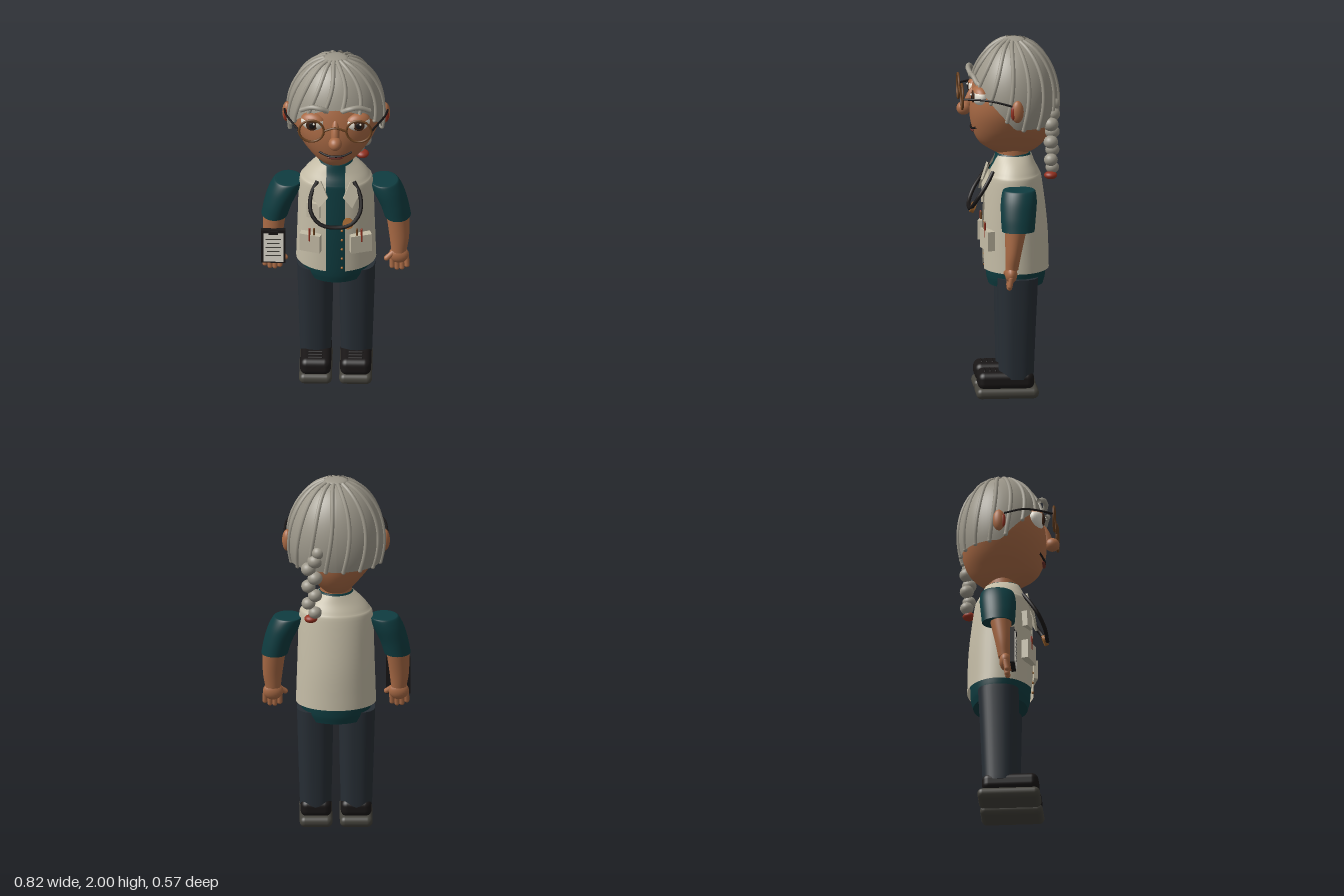
import * as THREE from 'three';
import { RoundedBoxGeometry } from 'three/addons/geometries/RoundedBoxGeometry.js';

const V = (x, y, z) => new THREE.Vector3(x, y, z);
const mat = (color) => new THREE.MeshStandardMaterial({ color, side: THREE.DoubleSide });

// Smooth tube of elliptical rings [y, cx, cz, rx, rz], bottom to top.
// gap: half width of a front opening; power < 1 squares the section.
function loft(rings, { gap = 0, power = 1, n = 40, steps = 24, caps = true } = {}) {
  const centre = new THREE.CatmullRomCurve3(rings.map(r => V(r[1], r[0], r[2])), false, 'catmullrom');
  const radius = new THREE.CatmullRomCurve3(rings.map(r => V(r[3], 0, r[4])), false, 'catmullrom');
  const pos = [], idx = [], bend = v => Math.sign(v) * Math.abs(v) ** power;
  const cols = gap ? n + 1 : n;
  for (let i = 0; i <= steps; i++) {
    const c = centre.getPoint(i / steps), r = radius.getPoint(i / steps);
    const g = gap ? Math.asin(Math.min(1, gap / r.x)) : 0;
    for (let j = 0; j < cols; j++) {
      const a = g + (2 * Math.PI - 2 * g) * j / n;
      pos.push(c.x + r.x * bend(Math.sin(a)), c.y, c.z + r.z * bend(Math.cos(a)));
    }
  }
  for (let i = 0; i < steps; i++) for (let j = 0; j < n; j++) {
    const a = i * cols + j, b = i * cols + (j + 1) % cols;
    idx.push(a, b, b + cols, a, b + cols, a + cols);
  }
  if (caps && !gap) for (const [row, top] of [[0, false], [steps, true]]) {
    const c = centre.getPoint(row / steps), start = pos.length / 3;
    pos.push(c.x, c.y, c.z);
    for (let j = 0; j < n; j++) pos.push(...pos.slice((row * n + j) * 3, (row * n + j) * 3 + 3));
    for (let j = 0; j < n; j++) {
      const a = start + 1 + j, b = start + 1 + (j + 1) % n;
      idx.push(start, ...(top ? [a, b] : [b, a]));
    }
  }
  const geo = new THREE.BufferGeometry();
  geo.setAttribute('position', new THREE.Float32BufferAttribute(pos, 3));
  geo.setIndex(idx);
  geo.computeVertexNormals();
  return geo;
}

// Hair dome: point at azimuth a (from the front), t = 0 at the crown, 1 at the hairline
function hairPoint(a, t) {
  const edge = 1.53 + Math.max(0, -0.01 + 0.24 * Math.cos(a)) * 1.12;
  const th = t * Math.acos((edge - 1.65) / 0.345);
  return V(0.265 * Math.sin(th) * Math.sin(a), 1.65 + 0.345 * Math.cos(th), -0.03 + 0.243 * Math.sin(th) * Math.cos(a));
}
function hairDome() {
  const geo = new THREE.PlaneGeometry(1, 1, 64, 24), p = geo.attributes.position, uv = geo.attributes.uv;
  for (let i = 0; i < p.count; i++) {
    const q = hairPoint(uv.getX(i) * 2 * Math.PI + Math.PI, 1 - uv.getY(i));
    p.setXYZ(i, q.x, q.y, q.z);
  }
  geo.computeVertexNormals();
  return geo;
}

export function createModel() {
  const root = new THREE.Group();
  const skin = mat(0xa96a45), hair = mat(0x9c978a), teal = mat(0x0f3c40), cream = mat(0xc4bca6);
  const navy = mat(0x272e35), black = mat(0x191616), sole = mat(0x45433c), white = mat(0xe6e1d4);
  const brown = mat(0x6b4220), gold = mat(0xa0642c), red = mat(0x93301f), lip = mat(0x6e3028), eyeBrown = mat(0x402617);

  const add = (name, geo, m, x = 0, y = 0, z = 0, parent = root) => {
    const mesh = new THREE.Mesh(geo, m);
    mesh.name = name;
    mesh.position.set(x, y, z);
    parent.add(mesh);
    return mesh;
  };
  const ball = (name, m, x, y, z, rx, ry = rx, rz = rx) => {
    const b = add(name, new THREE.SphereGeometry(1, 24, 16), m, x, y, z);
    b.scale.set(rx, ry, rz);
    return b;
  };
  const box = (name, m, x, y, z, w, h, d) => add(name, new THREE.BoxGeometry(w, h, d), m, x, y, z);
  const tube = (name, m, pts, r) =>
    add(name, new THREE.TubeGeometry(new THREE.CatmullRomCurve3(pts), 24, r, 8), m);
  const rod = (name, m, a, b, r) => {
    const c = add(name, new THREE.CapsuleGeometry(r, a.distanceTo(b), 6, 12), m);
    c.position.copy(a).lerp(b, 0.5);
    c.quaternion.setFromUnitVectors(V(0, 1, 0), b.clone().sub(a).normalize());
    return c;
  };

  // Head and neck
  add('head', loft([[1.345, 0, -0.02, 0.05, 0.06], [1.37, 0, -0.025, 0.08, 0.12], [1.42, 0, -0.018, 0.128, 0.182],
    [1.5, 0, -0.02, 0.19, 0.22], [1.6, 0, -0.02, 0.237, 0.235], [1.7, 0, -0.027, 0.25, 0.232],
    [1.8, 0, -0.03, 0.222, 0.203], [1.9, 0, -0.03, 0.165, 0.15], [1.96, 0, -0.03, 0.07, 0.07]], { steps: 40 }), skin);
  add('neck', new THREE.CylinderGeometry(0.085, 0.09, 0.12, 32), skin, 0, 1.34, -0.025);

  // Hair with raised strands running from the crown
  add('hair', hairDome(), hair);
  ball('crown', hair, 0, 1.985, -0.03, 0.065, 0.015, 0.062);
  for (let i = 0; i < 16; i++) {
    const a = (i + 0.4) / 16 * 2 * Math.PI, pts = [];
    for (let k = 0; k <= 8; k++) pts.push(hairPoint(a + 0.14 * Math.sin(k / 8 * Math.PI), 0.13 + 0.87 * k / 8));
    tube('hairStrand', hair, pts, 0.012);
    ball('strandTip', hair, ...pts[8].toArray(), 0.012);
  }

  // Braid hanging behind the left shoulder
  ball('braidRoot', hair, 0.1, 1.64, -0.24, 0.036);
  for (let i = 0; i < 7; i++) {
    const side = i % 2 ? 0.018 : -0.018, r = 0.043 - 0.001 * i;
    ball('braidBead', hair, 0.135 + side, 1.59 - i * 0.05, -0.228 + side * 0.3, r, r * 0.92);
  }
  ball('braidTie', red, 0.14, 1.25, -0.222, 0.036, 0.022, 0.036);

  // Nose and mouth
  ball('noseBridge', skin, 0, 1.65, 0.212, 0.024, 0.085, 0.028).rotation.x = -0.35;
  ball('noseTip', skin, 0, 1.605, 0.245, 0.037, 0.038, 0.04);
  tube('mouth', black, [V(-0.09, 1.515, 0.183), V(-0.045, 1.5, 0.2), V(0, 1.497, 0.205), V(0.045, 1.5, 0.2), V(0.09, 1.515, 0.183)], 0.006);
  ball('lowerLip', lip, 0, 1.486, 0.197, 0.045, 0.011, 0.012);

  // Paired face parts
  for (const s of [-1, 1]) {
    ball('ear', skin, s * 0.268, 1.64, -0.03, 0.028, 0.062, 0.034);
    ball('innerEar', red, s * 0.276, 1.635, -0.006, 0.014, 0.04, 0.014);
    ball('eye', white, s * 0.125, 1.7, 0.168, 0.066, 0.05, 0.04).rotation.y = s * 0.3;
    ball('iris', eyeBrown, s * 0.128, 1.7, 0.204, 0.033, 0.035, 0.009);
    ball('pupil', black, s * 0.128, 1.7, 0.21, 0.018, 0.02, 0.006);
    ball('eyeGlint', white, s * 0.128 + 0.01, 1.712, 0.215, 0.006);
    const lid = add('eyelid', new THREE.SphereGeometry(1, 24, 10, 0, Math.PI * 2, 0, Math.PI * 0.36), skin, s * 0.125, 1.7, 0.168);
    lid.scale.set(0.072, 0.056, 0.045);
    lid.rotation.y = s * 0.3;
    tube('eyebrow', hair, [V(s * 0.04, 1.79, 0.205), V(s * 0.08, 1.812, 0.215), V(s * 0.13, 1.815, 0.205), V(s * 0.19, 1.785, 0.185)], 0.014);
    add('glassesRim', new THREE.TorusGeometry(0.068, 0.0065, 10, 40), brown, s * 0.13, 1.7, 0.265);
    tube('glassesArm', black, [V(s * 0.2, 1.7, 0.26), V(s * 0.24, 1.705, 0.18), V(s * 0.272, 1.7, 0.1), V(s * 0.283, 1.675, 0)], 0.006);
  }
  tube('glassesBridge', brown, [V(-0.062, 1.7, 0.265), V(0, 1.722, 0.27), V(0.062, 1.7, 0.265)], 0.0065);

  // Shirt and open vest
  add('shirt', loft([[0.62, 0, -0.04, 0.17, 0.15], [0.7, 0, -0.04, 0.195, 0.165], [0.95, 0, -0.035, 0.2, 0.168], [1.2, 0, -0.027, 0.19, 0.145],
    [1.25, 0, -0.025, 0.172, 0.133], [1.3, 0, -0.025, 0.132, 0.108], [1.352, 0, -0.025, 0.085, 0.095]]), teal);
  add('vest', loft([[0.71, 0, -0.04, 0.22, 0.183], [0.95, 0, -0.035, 0.212, 0.18], [1.2, 0, -0.027, 0.203, 0.158],
    [1.25, 0, -0.025, 0.185, 0.145], [1.3, 0, -0.025, 0.145, 0.12], [1.345, 0, -0.025, 0.095, 0.103]], { gap: 0.052 }), cream);
  for (let i = 0; i < 5; i++) ball('button', gold, 0.035, 0.97 - i * 0.06, 0.134, 0.007);

  for (const s of [-1, 1]) {
    // Lapel, hip pocket and pens
    const lapelShape = new THREE.Shape([[0.01, 0.08], [0.065, 0.015], [0.02, -0.075], [-0.03, -0.015]].map(([x, y]) => new THREE.Vector2(s * x, y)));
    const lapel = add('lapel', new THREE.ExtrudeGeometry(lapelShape, { depth: 0.012, bevelEnabled: false }), cream, s * 0.07, 1.2, 0.128);
    lapel.rotation.set(-0.3, s * 0.2, 0);
    box('hipPocket', cream, s * 0.137, 0.893, 0.125, 0.118, 0.108, 0.04).rotation.y = s * 0.3;
    for (const dx of [0, 0.025]) rod('pen', dx ? red : brown, V(s * (0.118 + dx), 0.91, 0.14), V(s * (0.118 + dx), 0.985, 0.14), 0.006);

    // Sleeve, forearm and hand
    add('sleeve', loft([[0.985, s * 0.337, -0.028, 0.073, 0.09], [1.06, s * 0.318, -0.03, 0.078, 0.096],
      [1.14, s * 0.288, -0.035, 0.085, 0.099], [1.195, s * 0.265, -0.038, 0.08, 0.09], [1.202, s * 0.262, -0.038, 0.065, 0.075]]), teal);
    add('forearm', loft([[0.77, s * 0.345, 0.008, 0.042, 0.035], [0.86, s * 0.347, 0, 0.054, 0.044], [1.0, s * 0.338, -0.015, 0.064, 0.06]]), skin);
    ball('palm', skin, s * 0.345, 0.745, 0.012, 0.056, 0.05, 0.034);
    for (let i = 0; i < 4; i++) {
      const x = 0.306 + i * 0.027, low = [0.678, 0.668, 0.67, 0.685][i];
      rod('finger', skin, V(s * x, 0.73, 0.014), V(s * (x + 0.002), low, 0.022), 0.0145);
    }
    rod('thumb', skin, V(s * 0.315, 0.765, 0.02), V(s * 0.278, 0.735, 0.035), 0.015);

    // Trouser leg and shoe
    add('trouserLeg', loft([[0.11, s * 0.112, -0.035, 0.086, 0.095], [0.4, s * 0.113, -0.038, 0.094, 0.104],
      [0.675, s * 0.115, -0.042, 0.1, 0.113]], { power: 0.8 }), navy);
    add('shoeSole', new RoundedBoxGeometry(0.18, 0.062, 0.345, 5, 0.03), sole, s * 0.11, 0.031, 0.017);
    add('shoeUpper', new RoundedBoxGeometry(0.17, 0.1, 0.31, 5, 0.038), black, s * 0.11, 0.1, 0.025);
    for (let i = 0; i < 3; i++) rod('shoelace', black, V(s * 0.11 - 0.035, 0.15, 0.08 + i * 0.03), V(s * 0.11 + 0.035, 0.15, 0.08 + i * 0.03), 0.006);
  }
  box('breastPocket', cream, -0.12, 1.095, 0.115, 0.075, 0.09, 0.03).rotation.set(-0.06, -0.3, 0);

  // Stethoscope
  const half = [[0.1, 1.265, 0.09], [0.135, 1.2, 0.13], [0.135, 1.12, 0.18], [0.085, 1.06, 0.21]];
  tube('stethoscopeTube', black, [...half.map(([x, y, z]) => V(-x, y, z)), V(0, 1.042, 0.215), ...half.reverse().map(([x, y, z]) => V(x, y, z))], 0.011);
  add('stethoscopeDisc', new THREE.CylinderGeometry(0.03, 0.03, 0.022, 28), gold, 0.07, 1.06, 0.2).rotation.x = 1.2;

  // Clipboard in the right hand
  box('clipboard', black, -0.343, 0.82, 0.053, 0.134, 0.21, 0.024);
  box('paper', white, -0.343, 0.815, 0.067, 0.11, 0.18, 0.006);
  box('clip', black, -0.343, 0.912, 0.068, 0.05, 0.02, 0.012);
  for (let i = 0; i < 5; i++) box('ruledLine', sole, -0.343, 0.87 - i * 0.026, 0.0705, i % 2 ? 0.07 : 0.085, 0.005, 0.002);

  return root;
}
